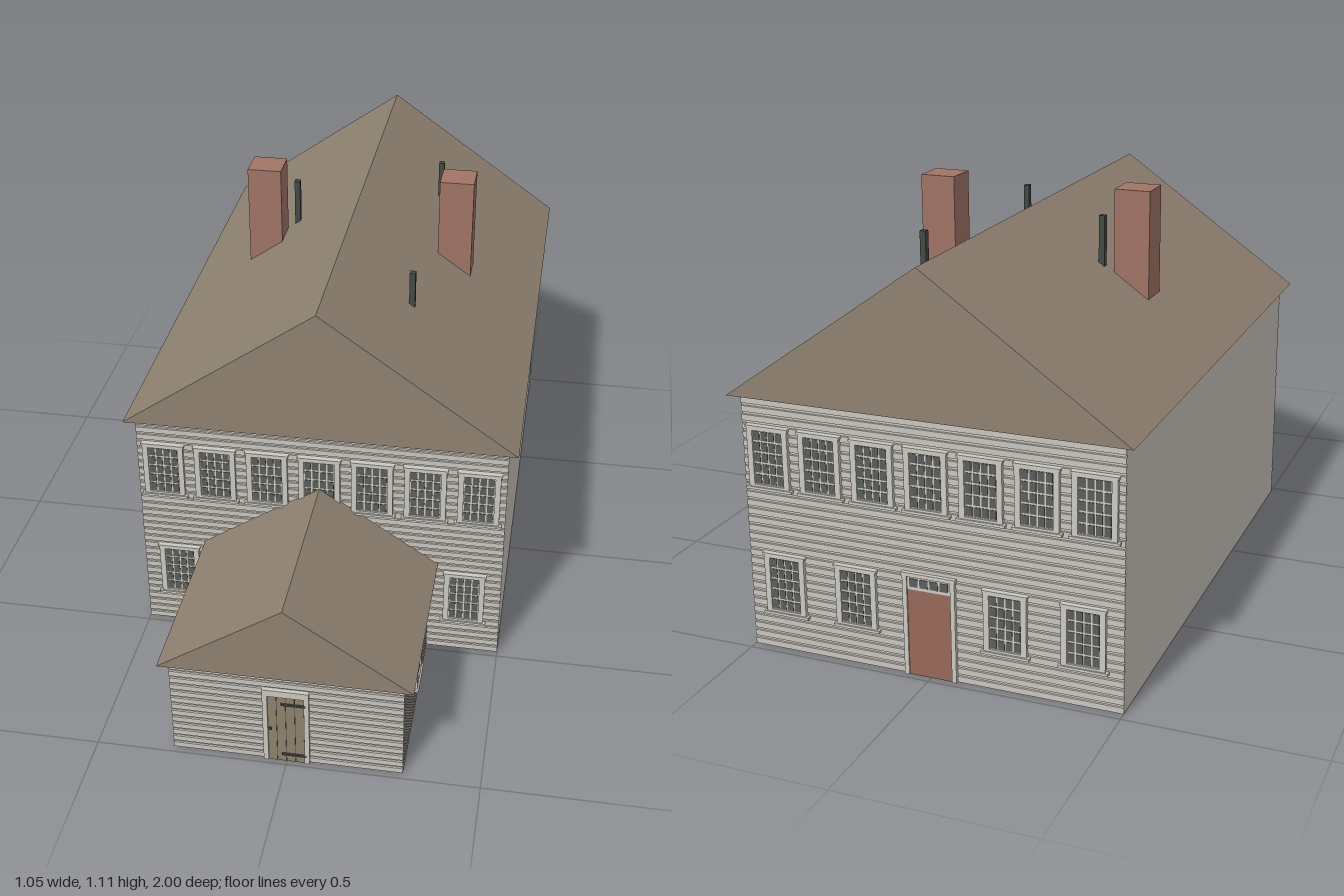
import * as THREE from 'three';

const mat = (name, color, side = THREE.FrontSide) => {
  const m = new THREE.MeshStandardMaterial({ color, side });
  m.name = name;
  return m;
};

export function createModel() {
  const siding = mat('siding', 0xcac6be, THREE.DoubleSide);
  const trim = mat('trim', 0xccc9c0);
  const roofing = mat('roofing', 0x8f8170);
  const brick = mat('brick', 0xa07465);
  const glass = mat('glass', 0x5a5d59);
  const iron = mat('iron', 0x444a47);
  const wood = mat('wood', 0x8f816c);
  const redPaint = mat('redPaint', 0x98685a);

  const house = new THREE.Group();
  house.name = 'house';

  const add = (parent, name, geometry, material, x = 0, y = 0, z = 0) => {
    const mesh = new THREE.Mesh(geometry, material);
    mesh.name = name;
    mesh.position.set(x, y, z);
    parent.add(mesh);
    return mesh;
  };
  const box = (parent, name, material, w, h, d, x, y, z) =>
    add(parent, name, new THREE.BoxGeometry(w, h, d), material, x, y, z);

  // Open-bottomed wall shell between two z values
  const shell = (name, halfW, h, z0, z1) => {
    const g = new THREE.BoxGeometry(halfW * 2, h, z1 - z0);
    const index = Array.from(g.index.array);
    index.splice(18, 6);
    g.setIndex(index);
    g.clearGroups();
    add(house, name, g, siding, 0, h / 2, (z0 + z1) / 2);
  };

  // Lapped boards facing +z, turned to face the given direction
  const clapboards = (name, width, height, x, z, turn) => {
    const pitch = 0.0227, n = Math.round(height / pitch), step = height / n;
    const s = new THREE.Shape();
    s.moveTo(0, 0);
    for (let i = 0; i < n; i++) {
      s.lineTo(0.006, i * step);
      s.lineTo(0.006, (i + 0.68) * step);
      s.lineTo(0.002, (i + 0.72) * step);
      s.lineTo(0.002, (i + 1) * step);
    }
    s.lineTo(0, height);
    const g = new THREE.ExtrudeGeometry(s, { depth: width, bevelEnabled: false });
    g.rotateY(-Math.PI / 2).translate(width / 2, 0, 0);
    add(house, name, g, siding, x, 0, z).rotation.y = turn;
  };

  // Solid triangular roof
  const gableRoof = (name, halfW, y0, y1, z0, z1) => {
    const s = new THREE.Shape();
    s.moveTo(-halfW, y0);
    s.lineTo(halfW, y0);
    s.lineTo(0, y1);
    s.closePath();
    const g = new THREE.ExtrudeGeometry(s, { depth: z1 - z0, bevelEnabled: false });
    add(house, name, g, roofing, 0, 0, z0);
  };

  // Casing ring, sash, grid of panes, head cap and sill
  const addWindow = (name, x, y, z, turn, { w, h, gw, gh, cols, rows }) => {
    const g = new THREE.Group();
    g.name = name;
    g.position.set(x, y, z);
    g.rotation.y = turn;
    const s = new THREE.Shape();
    s.moveTo(-w / 2, 0).lineTo(w / 2, 0).lineTo(w / 2, h).lineTo(-w / 2, h).closePath();
    const m = (h - gh) / 2, a = gw / 2;
    const hole = new THREE.Path();
    hole.moveTo(-a, m).lineTo(-a, h - m).lineTo(a, h - m).lineTo(a, m).closePath();
    s.holes.push(hole);
    add(g, 'casing', new THREE.ExtrudeGeometry(s, { depth: 0.013, bevelEnabled: false }), trim);
    box(g, 'sash', trim, gw, gh, 0.008, 0, h / 2, 0.004);
    const cw = gw / cols, ch = gh / rows;
    for (let i = 0; i < cols; i++)
      for (let j = 0; j < rows; j++)
        box(g, 'pane', glass, cw - 0.004, ch - 0.005, 0.002,
          (i + 0.5) * cw - a, m + (j + 0.5) * ch, 0.0085);
    box(g, 'sill', trim, w + 0.014, 0.007, 0.017, 0, 0.0035, 0.0085);
    box(g, 'headCap', trim, w + 0.006, 0.006, 0.015, 0, h - 0.003, 0.0075);
    house.add(g);
  };

  // Main block
  shell('mainWalls', 0.5, 0.679, -0.97, 0.475);
  clapboards('frontSiding', 1, 0.679, 0, 0.475, 0);
  clapboards('backSiding', 1, 0.679, 0, -0.97, Math.PI);
  gableRoof('mainRoof', 0.525, 0.68, 1.05, -1, 0.51);

  // Front annex
  shell('annexWalls', 0.295, 0.287, 0.478, 0.975);
  clapboards('annexFrontSiding', 0.6, 0.287, 0, 0.975, 0);
  for (const s of [-1, 1])
    clapboards('annexSideSiding', 0.497, 0.287, s * 0.295, 0.7265, s * Math.PI / 2);
  gableRoof('annexRoof', 0.325, 0.288, 0.505, 0.455, 1);

  // Windows
  const large = { w: 0.112, h: 0.168, gw: 0.082, gh: 0.142, cols: 4, rows: 5 };
  const small = { w: 0.096, h: 0.13, gw: 0.066, gh: 0.104, cols: 3, rows: 4 };
  for (let i = -3; i <= 3; i++) {
    addWindow('upperFrontWindow', i * 0.1425, 0.436, 0.477, 0, large);
    addWindow('upperBackWindow', i * 0.1425, 0.436, -0.972, Math.PI, large);
  }
  for (const s of [-1, 1]) {
    addWindow('lowerFrontWindow', s * 0.4, 0.098, 0.477, 0, large);
    addWindow('lowerBackWindow', s * 0.4, 0.098, -0.972, Math.PI, large);
    addWindow('lowerBackWindow', s * 0.2, 0.098, -0.972, Math.PI, large);
    addWindow('annexSideWindow', s * 0.297, 0.096, 0.73, s * Math.PI / 2, small);
  }

  // Plank door of the annex with strap hinges and latch
  const door = new THREE.Group();
  door.name = 'frontDoor';
  door.position.z = 0.977;
  for (const s of [-1, 1]) box(door, 'doorJamb', trim, 0.013, 0.238, 0.012, s * 0.0535, 0.119, 0.006);
  box(door, 'doorHead', trim, 0.12, 0.02, 0.012, 0, 0.228, 0.006);
  box(door, 'doorBacking', iron, 0.094, 0.218, 0.007, 0, 0.109, 0.0035);
  for (let i = 0; i < 4; i++)
    box(door, 'doorPlank', wood, 0.0218, 0.218, 0.009, (i - 1.5) * 0.0236, 0.109, 0.0045);
  for (const y of [0.025, 0.195]) box(door, 'strapHinge', iron, 0.064, 0.006, 0.004, 0.02, y, 0.011);
  box(door, 'latch', iron, 0.008, 0.006, 0.005, -0.04, 0.11, 0.0115);
  house.add(door);

  // Red back door with a transom light
  const backDoor = new THREE.Group();
  backDoor.name = 'backDoor';
  backDoor.position.z = -0.972;
  backDoor.rotation.y = Math.PI;
  for (const s of [-1, 1]) box(backDoor, 'doorJamb', trim, 0.012, 0.275, 0.013, s * 0.064, 0.1375, 0.0065);
  box(backDoor, 'doorLeaf', redPaint, 0.116, 0.232, 0.009, 0, 0.116, 0.0045);
  box(backDoor, 'transomFrame', trim, 0.116, 0.043, 0.009, 0, 0.2535, 0.0045);
  box(backDoor, 'doorHead', trim, 0.144, 0.01, 0.015, 0, 0.273, 0.0075);
  for (let i = 0; i < 4; i++)
    box(backDoor, 'transomPane', glass, 0.022, 0.022, 0.002, (i - 1.5) * 0.027, 0.251, 0.0095);
  house.add(backDoor);

  // Chimneys and vent pipes
  for (const s of [-1, 1]) box(house, 'chimney', brick, 0.097, 0.29, 0.095, s * 0.278, 0.965, -0.247);
  for (const [x, z, top] of [[-0.2, -0.3, 1.04], [0.2, 0.155, 1.005], [0.2, -0.545, 1.02]])
    box(house, 'ventPipe', iron, 0.016, top - 0.88, 0.018, x, (top + 0.88) / 2, z);

  return house;
}
